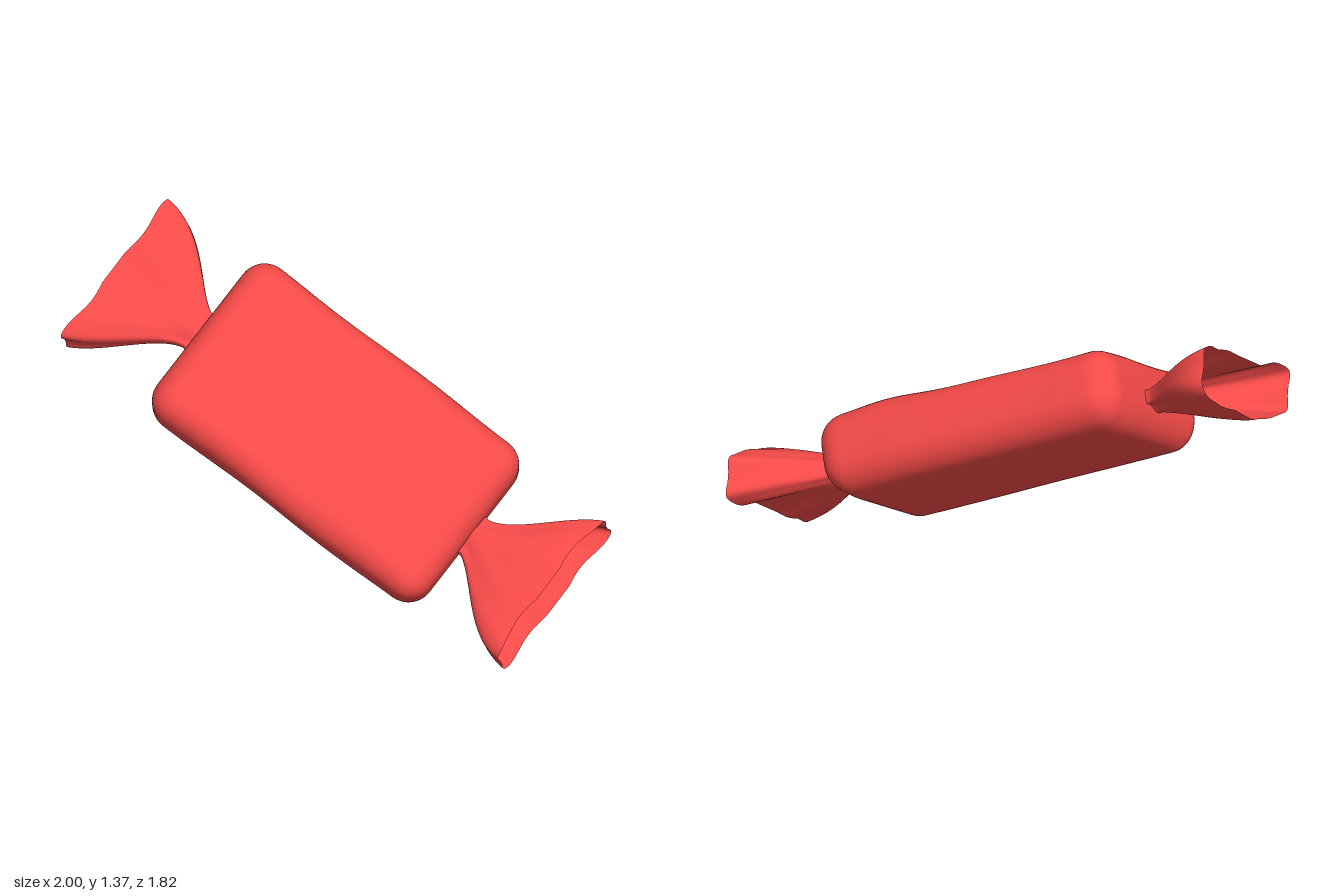
import * as THREE from 'three';
import { mergeVertices } from 'three/addons/utils/BufferGeometryUtils.js';

const material = new THREE.MeshStandardMaterial({ color: 0xf54a48, side: THREE.DoubleSide });
const { sin, cos, abs, sign, pow, exp, max, PI } = Math;
const { smoothstep } = THREE.MathUtils;

// Local frame: x along the sweet, y across its width, z through its thickness (face up).
function makeBody() {
  const r = 0.11, backDepth = 0.135;
  let geo = new THREE.BoxGeometry(1.38, 0.78, 0.33, 60, 36, 16);
  geo.deleteAttribute('uv');
  geo.deleteAttribute('normal');
  geo = mergeVertices(geo, 1e-4);
  const pos = geo.attributes.position;
  const p = new THREE.Vector3(), q = new THREE.Vector3();
  const low = new THREE.Vector3(r - 0.69, r - 0.39, backDepth - 0.165);
  const high = new THREE.Vector3(0.69 - r, 0.39 - r, 0.165 - r);
  for (let i = 0; i < pos.count; i++) {
    // round all edges, the back ones with a deeper, elliptical curve
    p.fromBufferAttribute(pos, i);
    q.copy(p).clamp(low, high);
    p.sub(q);
    const deep = p.z < 0 ? backDepth / r : 1;
    p.z /= deep;
    p.setLength(r);
    p.z *= deep;
    p.add(q);
    // soft dents, a swelling towards one front corner, one long back edge lifted
    const front = max(0, p.z / 0.165), back = max(0, -p.z / 0.165);
    p.z += front * 0.006 * (sin(p.x * 7 + p.y * 5) + sin(p.x * 4 - p.y * 9));
    p.z += front * 0.035 * exp(-pow((p.x - 0.38) / 0.22, 2) - pow((p.y - 0.3) / 0.2, 2));
    p.z += back * 0.025 * smoothstep(p.y, 0.15, 0.39);
    p.y *= 1 + 0.01 * sin(p.x * 8 + p.z * 6);
    pos.setXYZ(i, p.x, p.y, p.z);
  }
  geo.computeVertexNormals();
  return geo;
}

// Flared, flattened, open wrapper end; s = -1 gives the point-reflected one.
function makeTail(s) {
  const rings = 28, sides = 120, verts = [], index = [];
  for (let j = 0; j <= rings; j++) {
    const t = j / rings;
    const flare = 0.4 * smoothstep(t, 0.1, 1) + 0.6 * max(0, (t - 0.1) / 0.9);
    // the first ring closes the neck inside the body
    const open = j ? 1 : 0;
    const w = open * (0.06 + 0.32 * flare + 0.04 * pow(1 - t, 6));
    const h = open * (0.045 + 0.065 * pow(flare, 0.8));
    // section turns from a round neck into a boxy mouth
    const power = 0.85 - 0.4 * flare;
    for (let i = 0; i < sides; i++) {
      const a = ((i + 0.5) / sides) * PI * 2;
      const k = sign(cos(a)) * pow(abs(cos(a)), power);
      const d = sign(sin(a)) * pow(abs(sin(a)), power);
      // one side flares sooner than the other
      const y = w * k * (1 - 0.1 * flare * (1 - abs(d))) - 0.06 * sin(PI * t) * max(0, -k);
      // arched middle, and folds fanning out from the neck
      let z = h * d + flare * 0.04 * (1 - k * k);
      z += flare * (0.01 * sin(k * 6 + 0.6) + 0.004 * sin(k * 13) * d);
      z += open * 0.008 * (1 - t) * sin(a * 5);
      // slanting, gently wavy lip
      const reach = 0.435 - 0.025 * d + 0.01 * cos(k * 7);
      verts.push(s * (0.66 + t * reach), s * (y + 0.01), s * (z + 0.015));
    }
  }
  for (let j = 0; j < rings; j++) {
    for (let i = 0; i < sides; i++) {
      const a = j * sides + i, b = j * sides + (i + 1) % sides;
      const c = a + sides, d = b + sides;
      if (s > 0) index.push(a, b, c, b, d, c);
      else index.push(a, c, b, b, c, d);
    }
  }
  const geo = new THREE.BufferGeometry();
  geo.setAttribute('position', new THREE.Float32BufferAttribute(verts, 3));
  geo.setIndex(index);
  geo.computeVertexNormals();
  return geo;
}

export function createModel() {
  const group = new THREE.Group();
  group.name = 'wrappedSweet';
  const sweet = new THREE.Group();
  sweet.name = 'sweet';
  const add = (geo, name) => {
    const mesh = new THREE.Mesh(geo, material);
    mesh.name = name;
    sweet.add(mesh);
  };
  add(makeBody(), 'wrappedBody');
  add(makeTail(1), 'leftTwist');
  add(makeTail(-1), 'rightTwist');

  // tilt the whole sweet
  const along = new THREE.Vector3(0.644, -0.412, 0.644).normalize();
  const normal = along.clone().cross(new THREE.Vector3(0.741, 0.546, -0.392)).normalize();
  const across = normal.clone().cross(along);
  sweet.setRotationFromMatrix(new THREE.Matrix4().makeBasis(along, across, normal));
  sweet.position.y = 0.705;
  group.add(sweet);
  return group;
}
